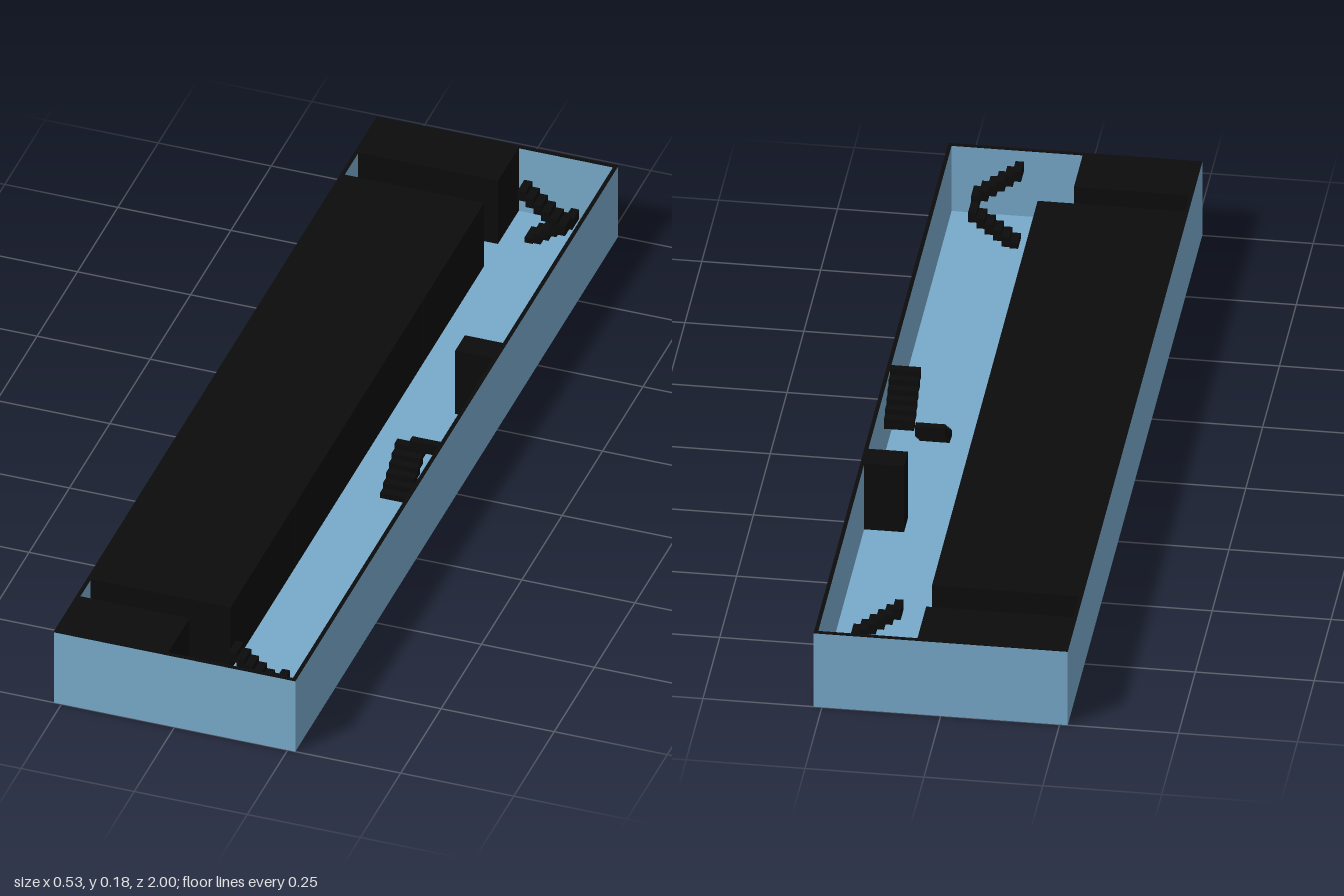
import * as THREE from 'three';

const W = 0.267, L = 1, H = 0.18;   // half width, half length, height of the tray
const T = 0.008, FLOOR = 0.02;      // wall and floor thickness

export function createModel() {
  const model = new THREE.Group();
  const blue = new THREE.MeshStandardMaterial({ color: 0x78aacc });
  const black = new THREE.MeshStandardMaterial({ color: 0x0c0c0c });

  // box given by its extents on each axis
  function block(parent, name, material, [x0, x1], [y0, y1], [z0, z1]) {
    const mesh = new THREE.Mesh(new THREE.BoxGeometry(x1 - x0, y1 - y0, z1 - z0), material);
    mesh.position.set((x0 + x1) / 2, (y0 + y1) / 2, (z0 + z1) / 2);
    mesh.name = name;
    parent.add(mesh);
  }

  // rectangular ring between two heights
  function ring(name, material, y0, y1) {
    const shape = new THREE.Shape([[-W, -L], [W, -L], [W, L], [-W, L]].map(p => new THREE.Vector2(...p)));
    const w = W - T, l = L - T;
    shape.holes.push(new THREE.Path([[-w, -l], [-w, l], [w, l], [w, -l]].map(p => new THREE.Vector2(...p))));
    const geometry = new THREE.ExtrudeGeometry(shape, { depth: y1 - y0, bevelEnabled: false });
    geometry.rotateX(-Math.PI / 2).translate(0, y0, 0);
    const mesh = new THREE.Mesh(geometry, material);
    mesh.name = name;
    model.add(mesh);
  }

  // floor slab, outer walls and their dark top edge
  block(model, 'floor', blue, [-W + T, W - T], [0, FLOOR], [-L + T, L - T]);
  ring('outerWalls', blue, 0, H - 0.002);
  ring('wallTop', black, H - 0.002, H);

  // room blocks along the right side
  const inner = -W + T;
  block(model, 'backRoom', black, [inner, 0.05], [FLOOR, H], [-L + T, -0.863]);
  block(model, 'frontRoom', black, [inner, -0.017], [FLOOR, H], [0.86, L - T]);
  const cuts = [-0.778, -0.4, 0.39, 0.795];
  for (let i = 0; i < 3; i++) {
    block(model, 'mainRoom' + (i + 1), black, [inner, 0.05], [FLOOR, H], [cuts[i] + 0.001, cuts[i + 1] - 0.001]);
  }

  // shaft against the left wall
  block(model, 'shaft', black, [0.175, W - T], [FLOOR, H], [-0.308, -0.248]);

  // two-flight stair in local space: climbs along +x, turns, climbs back along -x
  function stair(name, length, width) {
    const group = new THREE.Group();
    group.name = name;
    const steps = 6, mid = 0.1, run = length / steps, gap = 0.001;
    for (let i = 0; i < steps; i++) {
      const lower = FLOOR + (mid - FLOOR) * (i + 1) / steps;
      const upper = mid + (H - mid) * (i + 1) / steps;
      const x = -length / 2 + i * run;
      block(group, 'lowerStep', black, [x, x + run], [Math.max(FLOOR, lower - 0.024), lower], [-width / 2, -gap]);
      block(group, 'upperStep', black, [-x - run, -x], [upper - 0.024, upper], [gap, width / 2]);
    }
    model.add(group);
    return group;
  }

  // end stairs turn at the left, the middle one turns towards the back
  stair('backStair', 0.105, 0.087).position.set(0.153, 0, -0.886);
  stair('frontStair', 0.105, 0.087).position.set(0.153, 0, 0.903);
  const middle = stair('middleStair', 0.108, 0.128);
  middle.rotation.y = Math.PI / 2;
  middle.position.set(0.195, 0, 0.04);

  return model;
}
